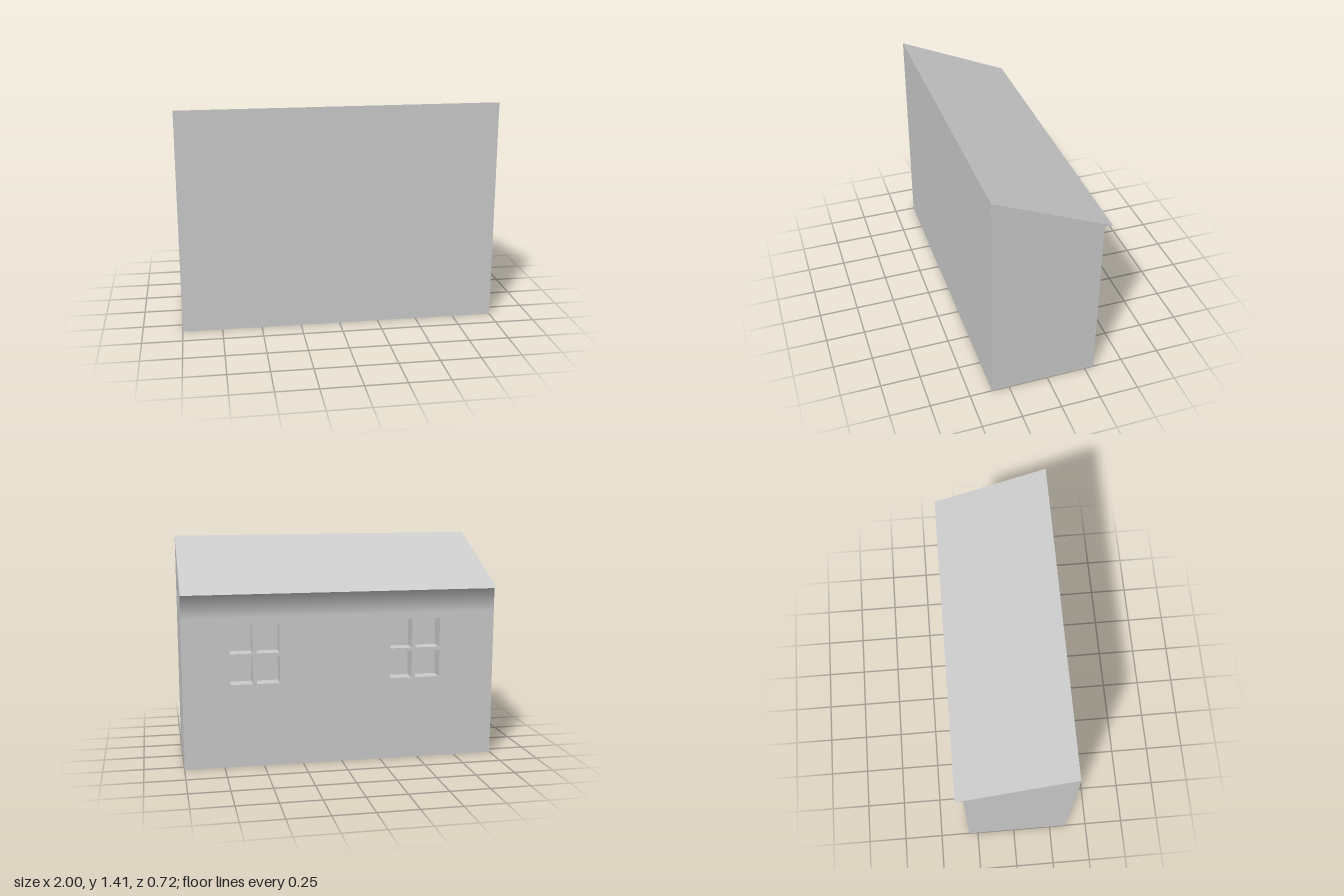
import * as THREE from 'three';

const HALF = 1;                    // half length along x
const FRONT = 0.36, BACK = -0.31;  // wall planes
const EAVE = [-0.36, 1.10], SOFFIT = [BACK, 1.105], RIDGE = [FRONT, 1.41];
const WALL_TOP = 0.95;             // above this the back wall curves softly into the eave
const DEPTH = 0.1;                 // window recess depth

// Window panes as [xMin, xMax] columns and [yMin, yMax] rows
const COLUMNS = [[0.565, 0.705], [0.395, 0.54], [-0.456, -0.314], [-0.639, -0.479]];
const ROWS = [[0.53, 0.702], [0.724, 0.91]];

// Sweeps a [z, y] polyline along x; normals ([z, y] per point) are optional
function strip(points, normals) {
  const pos = [], nor = [];
  for (let i = 0; i < points.length - 1; i++) {
    const corners = [[-HALF, i], [-HALF, i + 1], [HALF, i + 1], [HALF, i]];
    for (const k of [0, 1, 2, 0, 2, 3]) {
      const [x, j] = corners[k];
      pos.push(x, points[j][1], points[j][0]);
      if (normals) nor.push(0, normals[j][1], normals[j][0]);
    }
  }
  const g = new THREE.BufferGeometry();
  g.setAttribute('position', new THREE.Float32BufferAttribute(pos, 3));
  if (normals) g.setAttribute('normal', new THREE.Float32BufferAttribute(nor, 3));
  else g.computeVertexNormals();
  return g;
}

// Flat shape from [x, y] points
const outline = (pts) => new THREE.Shape(pts.map(([x, y]) => new THREE.Vector2(x, y)));
const rect = (x0, x1, y0, y1) => [[x0, y0], [x1, y0], [x1, y1], [x0, y1]];

// Inward-facing box without its back (-z) face
function recess(w, h, d) {
  const g = new THREE.BoxGeometry(w, h, d);
  g.setIndex(Array.from(g.index.array).slice(0, 30).reverse());
  const n = g.attributes.normal;
  for (let i = 0; i < n.count; i++) n.setXYZ(i, -n.getX(i), -n.getY(i), -n.getZ(i));
  return g;
}

export function createModel() {
  const model = new THREE.Group();
  model.name = 'leanToHouse';
  const material = new THREE.MeshStandardMaterial({ color: 0xcccccc });
  const add = (name, geometry, parent = model) => {
    const mesh = new THREE.Mesh(geometry, material);
    mesh.name = name;
    parent.add(mesh);
    return mesh;
  };

  // Roof, front wall and floor
  add('roof', strip([EAVE, RIDGE]));
  add('frontWall', strip([RIDGE, [FRONT, 0]]));
  add('floor', strip([[FRONT, 0], [BACK, 0]]));

  // Eave, shaded smoothly into the top of the back wall
  add('eave', strip(
    [[BACK, WALL_TOP], SOFFIT, EAVE],
    [[-1, 0], [-0.7, -0.714], [-0.1, -0.995]]
  ));

  // End walls
  const profile = [[FRONT, 0], RIDGE, EAVE, SOFFIT, [BACK, 0]];
  for (const side of [1, -1]) {
    const g = new THREE.ShapeGeometry(outline(profile.map(([z, y]) => [-side * z, y])));
    add(side > 0 ? 'leftWall' : 'rightWall', g.rotateY(side * Math.PI / 2).translate(side * HALF, 0, 0));
  }

  // Back wall with pane openings (drawn mirrored, then turned to face -z)
  const wall = outline(rect(-HALF, HALF, 0, WALL_TOP));
  const windows = [0, 1].map((i) => {
    const group = new THREE.Group();
    group.name = i ? 'rightWindow' : 'leftWindow';
    model.add(group);
    return group;
  });
  COLUMNS.forEach(([x0, x1], i) => {
    for (const [y0, y1] of ROWS) {
      wall.holes.push(outline(rect(-x1, -x0, y0, y1)));
      add('paneRecess', recess(x1 - x0, y1 - y0, DEPTH), windows[i >> 1])
        .position.set((x0 + x1) / 2, (y0 + y1) / 2, BACK + DEPTH / 2);
    }
  });
  add('backWall', new THREE.ShapeGeometry(wall).rotateY(Math.PI).translate(0, 0, BACK));

  return model;
}
